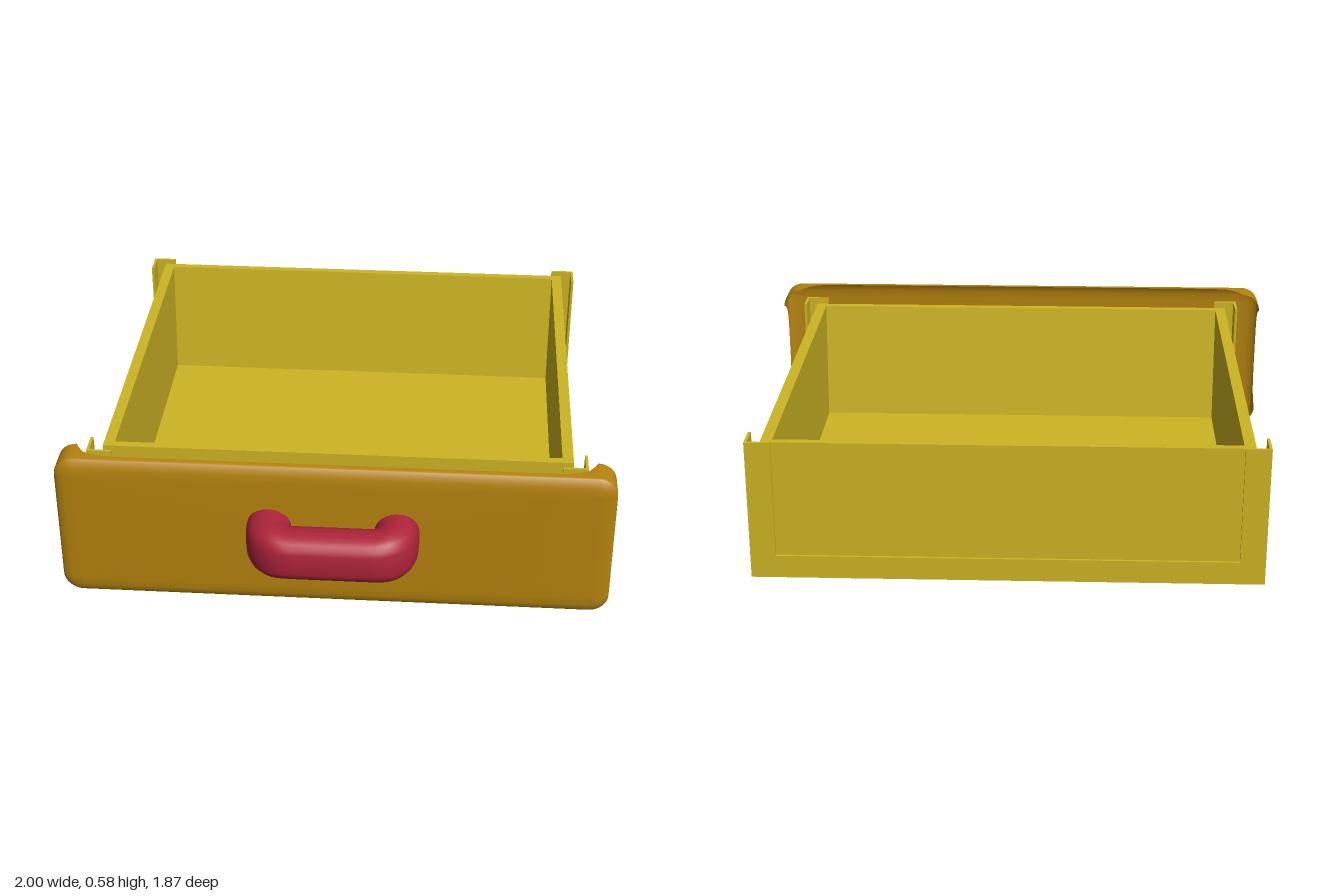
import * as THREE from 'three';

const material = (name, color, side = THREE.FrontSide) => {
  const m = new THREE.MeshStandardMaterial({ color, side });
  m.name = name;
  return m;
};

// Rounded rectangle, pulled in by inset; each point knows its distance from the nearest corner arc
function outline(halfW, halfH, radius, inset) {
  const w = halfW - radius, h = halfH - radius, r = radius - inset, points = [];
  const corners = [[w, h], [-w, h], [-w, -h], [w, -h]];
  corners.forEach(([cx, cy], k) => {
    for (let i = 0; i <= 8; i++) {
      const a = (k + i / 8) * Math.PI / 2;
      points.push({ x: cx + r * Math.cos(a), y: cy + r * Math.sin(a), s: 0, vertical: k % 2 === 1 && i === 8 });
    }
    const [nx, ny] = corners[(k + 1) % 4];
    const end = (k + 1) * Math.PI / 2, length = Math.hypot(nx - cx, ny - cy);
    for (let i = 1; i < 24; i++) {
      const u = (1 - Math.cos(i / 24 * Math.PI)) / 2;
      points.push({
        x: cx + (nx - cx) * u + r * Math.cos(end),
        y: cy + (ny - cy) * u + r * Math.sin(end),
        s: Math.min(u, 1 - u) * length,
        vertical: k % 2 === 1,
      });
    }
  });
  return points;
}

export function createModel() {
  const model = new THREE.Group();
  model.name = 'drawer';
  const yellow = material('yellow wood', 0xcdb423);
  const orange = material('orange front', 0xb5830e, THREE.DoubleSide);
  const red = material('red handle', 0xae243a);

  const add = (name, geometry, mat, parent = model) => {
    const mesh = new THREE.Mesh(geometry, mat);
    mesh.name = name;
    parent.add(mesh);
  };
  const box = (name, x0, x1, y0, y1, z0, z1, parent) => {
    const geometry = new THREE.BoxGeometry(x1 - x0, y1 - y0, z1 - z0);
    geometry.translate((x0 + x1) / 2, (y0 + y1) / 2, (z0 + z1) / 2);
    add(name, geometry, yellow, parent);
  };
  const rectangle = (Type, w, z0, z1) => new Type([[-w, z0], [w, z0], [w, z1], [-w, z1]]
    .map(p => new THREE.Vector2(...p)));

  // Floor with front and back walls that lean in towards the floor, on a wider base
  const tray = new THREE.Group();
  tray.name = 'tray';
  model.add(tray);
  const profile = new THREE.Shape([
    [-0.923, 0.038], [0.604, 0.038], [0.604, 0.105], [0.56, 0.105], [0.56, 0.537], [0.53, 0.537],
    [0.482, 0.076], [-0.83, 0.076], [-0.877, 0.537], [-0.905, 0.537], [-0.905, 0.105], [-0.923, 0.105],
  ].map(p => new THREE.Vector2(...p)));
  const shell = new THREE.ExtrudeGeometry(profile, { depth: 1.7, bevelEnabled: false });
  shell.translate(0, 0, -0.85).rotateY(-Math.PI / 2);
  add('floorAndEndWalls', shell, yellow, tray);

  // Raised border under the floor
  const ring = rectangle(THREE.Shape, 0.9, -0.933, 0.614);
  ring.holes.push(rectangle(THREE.Path, 0.8, -0.83, 0.51));
  const border = new THREE.ExtrudeGeometry(ring, { depth: 0.007, bevelEnabled: false });
  border.rotateX(Math.PI / 2).translate(0, 0.04, 0);
  add('bottomBorder', border, yellow, tray);

  // Thin rails along the foot of the front and back
  box('frontRail', -0.9, 0.9, 0.034, 0.117, 0.604, 0.614, tray);
  box('backRail', -0.9, 0.9, 0.034, 0.117, -0.933, -0.923, tray);

  // Side walls, base ledges, thin rails and thin L-shaped corner posts standing clear of the walls
  for (const s of [-1, 1]) {
    const side = s > 0 ? 'left' : 'right';
    const span = (a, b) => (s > 0 ? [a, b] : [-b, -a]);
    box(side + 'Wall', ...span(0.81, 0.85), 0.04, 0.537, -0.905, 0.56, tray);
    box(side + 'Ledge', ...span(0.85, 0.89), 0.038, 0.105, -0.923, 0.604, tray);
    box(side + 'Rail', ...span(0.89, 0.9), 0.034, 0.117, -0.933, 0.614, tray);
    box(side + 'FrontPostSide', ...span(0.89, 0.9), 0.034, 0.547, 0.522, 0.614, tray);
    box(side + 'FrontPostFace', ...span(0.81, 0.9), 0.034, 0.547, 0.604, 0.614, tray);
    box(side + 'BackPostSide', ...span(0.89, 0.9), 0.034, 0.547, -0.933, -0.838, tray);
    box(side + 'BackPostFace', ...span(0.81, 0.9), 0.034, 0.547, -0.933, -0.923, tray);
  }

  // Thin front panel: soft rounded rim, with the corners flaring back
  const rings = [[0.07, 0], [0.035, 0.003], [0.015, 0.009], [0.004, 0.018], [0, 0.022], [0, null]];
  const vertices = [0, 0.288, 0.733], faces = [];
  let count = 0;
  rings.forEach(([inset, depth]) => {
    const points = outline(1, 0.288, 0.07, inset);
    count = points.length;
    for (const p of points) {
      const base = p.vertical ? 0.024 : 0.04;
      const rim = base + (0.117 - base) * Math.exp(-p.s / 0.03);
      vertices.push(p.x, 0.288 + p.y, 0.733 - (depth ?? rim));
    }
  });
  for (let i = 0; i < count; i++) {
    const j = (i + 1) % count;
    faces.push(0, 1 + i, 1 + j);
    for (let k = 0; k < rings.length - 1; k++) {
      const a = 1 + k * count, b = a + count;
      faces.push(a + i, b + i, b + j, a + i, b + j, a + j);
    }
  }
  const panel = new THREE.BufferGeometry();
  panel.setAttribute('position', new THREE.Float32BufferAttribute(vertices, 3));
  panel.setIndex(faces);
  panel.computeVertexNormals();
  add('frontPanel', panel, orange);

  // U-shaped handle with a squarish section, slightly taller at its ends
  const path = new THREE.CurvePath();
  const v = (x, z) => new THREE.Vector3(x, 0, z);
  path.add(new THREE.LineCurve3(v(-0.229, 0.734), v(-0.229, 0.755)));
  path.add(new THREE.QuadraticBezierCurve3(v(-0.229, 0.755), v(-0.229, 0.852), v(-0.13, 0.852)));
  path.add(new THREE.LineCurve3(v(-0.13, 0.852), v(0.13, 0.852)));
  path.add(new THREE.QuadraticBezierCurve3(v(0.13, 0.852), v(0.229, 0.852), v(0.229, 0.755)));
  path.add(new THREE.LineCurve3(v(0.229, 0.755), v(0.229, 0.734)));
  const grip = new THREE.TubeGeometry(path, 64, 0.081, 24, false);
  const gp = grip.attributes.position;
  for (let i = 0; i < gp.count; i++) {
    const h = gp.getY(i) / 0.081;
    const height = 0.091 + 0.008 * THREE.MathUtils.smoothstep(Math.abs(gp.getX(i)), 0.14, 0.23);
    gp.setY(i, 0.306 + Math.sign(h) * Math.pow(Math.abs(h), 0.6) * height);
  }
  grip.computeVertexNormals();
  add('handle', grip, red);

  return model;
}
